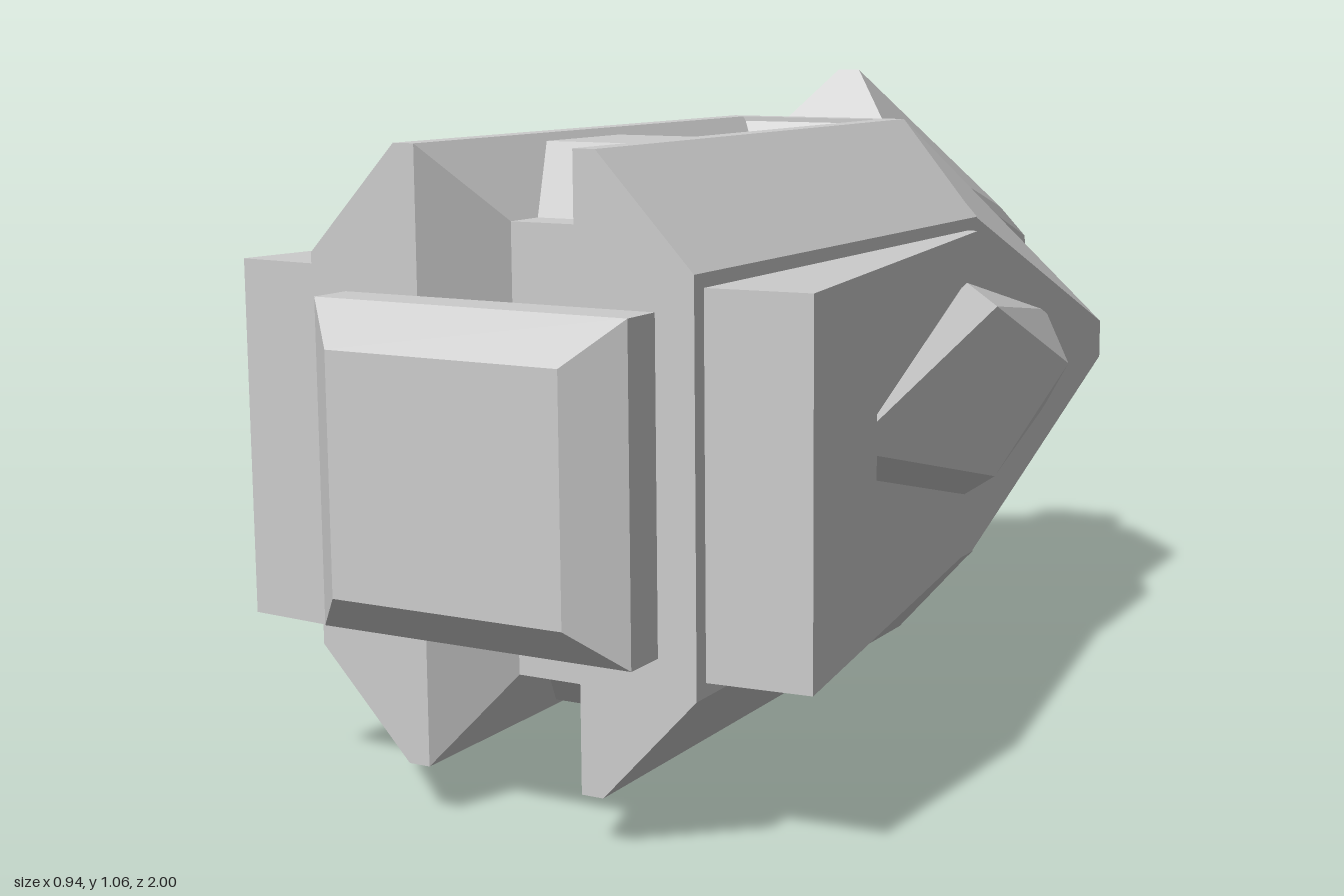
import * as THREE from 'three';
import { ConvexGeometry } from 'three/addons/geometries/ConvexGeometry.js';

const material = new THREE.MeshStandardMaterial({ color: 0xcccccc, flatShading: true });
const V = (x, y, z) => new THREE.Vector3(x, y, z);

// Expand points by mirroring across the chosen axes
function mirror(points, mx, my) {
  const out = [];
  for (const [x, y, z] of points)
    for (const sx of mx ? [1, -1] : [1])
      for (const sy of my ? [1, -1] : [1]) out.push(V(x * sx, y * sy, z));
  return out;
}

export function createModel() {
  const model = new THREE.Group();
  const hull = new THREE.Group();
  hull.position.y = 0.53; // everything is symmetric about this height
  model.add(hull);

  function add(name, geometry) {
    const mesh = new THREE.Mesh(geometry, material);
    mesh.name = name;
    hull.add(mesh);
    return mesh;
  }
  const solid = (name, points, mx, my) => add(name, new ConvexGeometry(mirror(points, mx, my)));

  // Middle body: octagonal section with a sloped channel above and below
  const quarter = [[0.055, 0.335], [0.13, 0.45], [0.165, 0.45], [0.315, 0.29]];
  const flip = quarter.slice().reverse();
  const section = [
    ...quarter,
    ...flip.map(([x, y]) => [x, -y]),
    ...quarter.map(([x, y]) => [-x, -y]),
    ...flip.map(([x, y]) => [-x, y]),
  ].map(([x, y]) => new THREE.Vector2(x, y));
  const middle = new THREE.ExtrudeGeometry(new THREE.Shape(section), { depth: 0.85, bevelEnabled: false });
  middle.translate(0, 0, -0.11);
  add('middleBody', middle);

  // Front cheeks flaring away from the vertical slot
  for (const s of [1, -1]) {
    const cheek = [
      ...quarter.map(([x, y]) => [s * x, y, 0.74]),
      ...quarter.slice(1).map(([x, y]) => [s * x, y, 0.865]),
    ];
    solid(s > 0 ? 'leftCheek' : 'rightCheek', cheek, false, true);
  }

  // Rear body tapering to a blunt wedge
  solid('rearBody', [
    [0.165, 0.45, -0.105], [0.315, 0.29, -0.105], [0.165, 0.45, -0.14],
    [0.315, 0.035, -0.755], [0.165, 0.044, -0.915], [0.06, 0.003, -1],
  ], true, true);

  // Front block with a bevelled face
  solid('frontBlock', [
    [0.255, 0.237, 0.865], [0.255, 0.237, 0.935], [0.188, 0.175, 1],
  ], true, true);

  // Channel details and rear fins, above and below
  for (const s of [1, -1]) {
    const side = s > 0 ? 'upper' : 'lower';
    const part = (name, pts) => solid(side + name, pts.map(([x, y, z]) => [x, y * s, z]), true, false);
    part('ChannelRamp', [[0.13, 0.45, -0.11], [0.055, 0.335, -0.11], [0.055, 0.335, -0.035]]);
    part('ChannelBridge', [
      [0.055, 0.335, 0.2], [0.123, 0.438, 0.33], [0.123, 0.438, 0.54], [0.055, 0.335, 0.67],
    ]);
    part('Fin', [
      [0.115, 0.42, -0.19], [0.02, 0.53, -0.265], [0.09, 0.248, -0.785],
      [0.095, 0.18, -0.91], [0.115, 0.04, -0.885],
    ]);
  }

  // Tail clip joining the fins
  solid('tailClip', [[0.06, 0.155, -0.8], [0.06, 0.155, -0.942], [0.06, 0, -1]], true, true);

  // Side panels: notched plate whose outer face slants outwards to the front
  const notched = [
    [0.84, 0.27], [-0.07, 0.27], [-0.055, 0.21], [0.525, 0.06],
    [0.525, -0.06], [-0.055, -0.21], [-0.07, -0.27], [0.84, -0.27],
  ].map(([z, y]) => new THREE.Vector2(z, y));
  for (const s of [1, -1]) {
    const side = s > 0 ? 'left' : 'right';
    // Mirrored outline keeps the winding correct on each side
    const shape = new THREE.Shape(notched.map((p) => new THREE.Vector2(-s * p.x, p.y)));
    const plate = new THREE.ExtrudeGeometry(shape, { depth: 1, bevelEnabled: false });
    plate.rotateY(s * Math.PI / 2);
    const pos = plate.attributes.position;
    for (let i = 0; i < pos.count; i++) {
      const z = pos.getZ(i);
      const outer = Math.abs(pos.getX(i)) > 0.5;
      pos.setX(i, s * (outer ? 0.333 + 0.152 * (z + 0.07) : 0.3));
      if (outer && z > 0.8) pos.setZ(i, 0.827);
    }
    plate.computeVertexNormals();
    add(side + 'Panel', plate);

    // Raised pod lying in the panel notch
    solid(side + 'Pod', [
      [s * 0.31, 0.04, 0.505], [s * 0.31, 0.185, -0.07], [s * 0.31, 0.092, -0.46],
      [s * 0.37, 0.012, 0.465], [s * 0.37, 0.145, -0.07], [s * 0.37, 0, -0.425],
    ], false, true);
  }
  return model;
}
